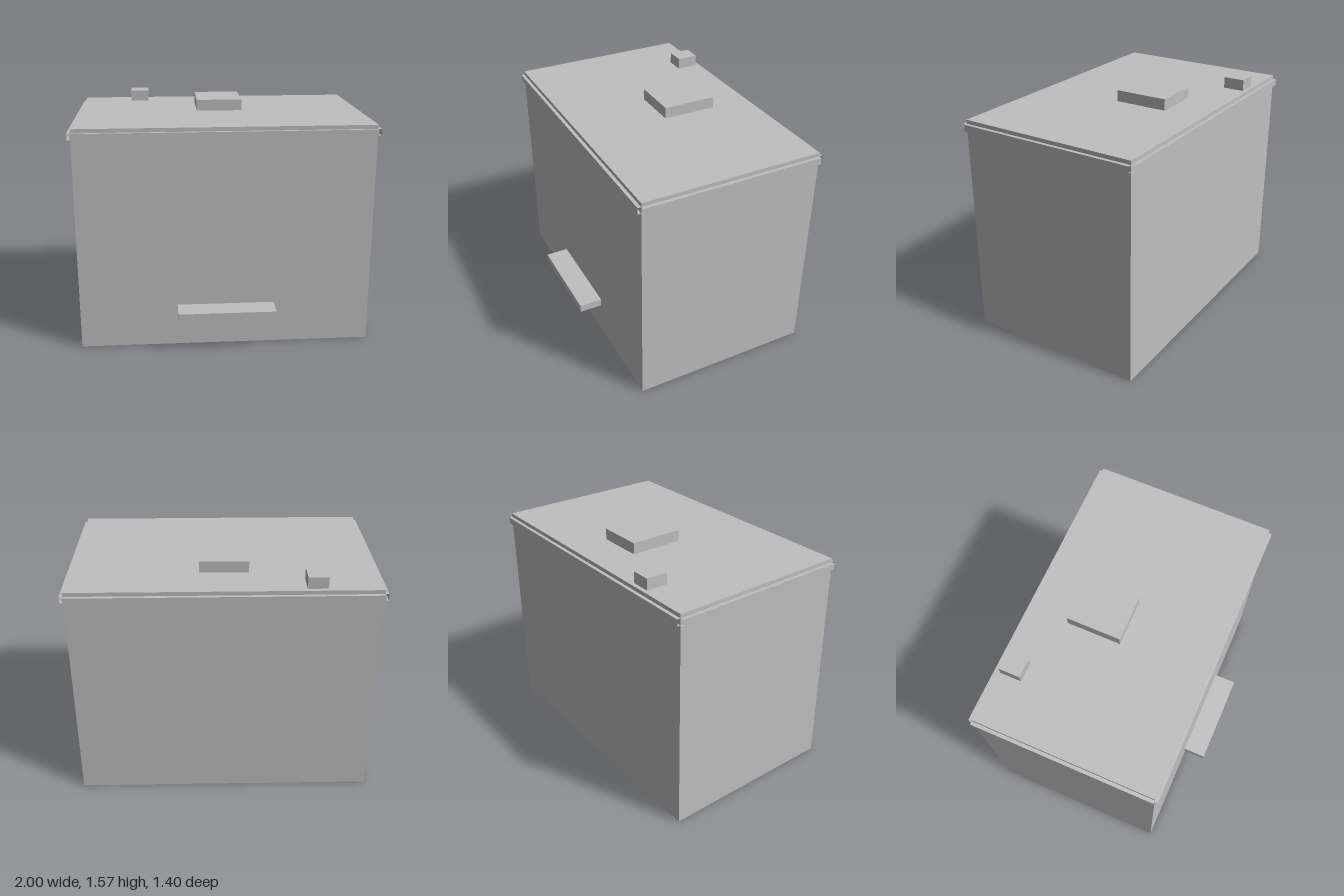
import * as THREE from 'three';

export function createModel() {
  const model = new THREE.Group();
  const grey = new THREE.MeshStandardMaterial({ color: 0xbfbfbf, side: THREE.DoubleSide });
  grey.name = 'plainGrey';

  const X = 0.977, BACK = -0.704, FRONT = 0.515, ROOF = 1.498;
  const MID = (FRONT + BACK) / 2;

  function add(name, geometry, parent = model) {
    const mesh = new THREE.Mesh(geometry, grey);
    mesh.name = name;
    parent.add(mesh);
    return mesh;
  }

  // Box given by its lower and upper corner
  function block(name, [x0, y0, z0], [x1, y1, z1]) {
    const g = new THREE.BoxGeometry(x1 - x0, y1 - y0, z1 - z0);
    g.translate((x0 + x1) / 2, (y0 + y1) / 2, (z0 + z1) / 2);
    return add(name, g);
  }

  // Walls and roof as a hollow shell, open underneath
  const shell = block('buildingShell', [-X, 0, BACK], [X, ROOF, FRONT]).geometry;
  const faces = Array.from(shell.index.array);
  faces.splice(18, 6); // drop the bottom face
  shell.setIndex(faces);
  shell.clearGroups();

  // Entrance canopy and rooftop units
  block('entranceCanopy', [-0.325, 0.234, FRONT], [0.325, 0.288, 0.671]);
  block('largeRoofUnit', [-0.161, ROOF, -0.434], [0.155, 1.574, -0.072]);
  block('smallRoofUnit', [-0.633, ROOF, -0.677], [-0.505, 1.574, -0.533]);

  // Cornice strips: top, outer and under faces, with open ends at the corners
  const profile = [[0, 1.472], [0.0225, 1.472], [0.0225, 1.429], [0, 1.429]];
  function cornice(length) {
    const g = new THREE.PlaneGeometry(length, 1, 1, 3);
    const p = g.attributes.position;
    for (let i = 0; i < p.count; i++) {
      const [depth, y] = profile[Math.floor(i / 2)];
      p.setXYZ(i, p.getX(i), y, depth);
    }
    const flat = g.toNonIndexed();
    flat.computeVertexNormals();
    return flat;
  }

  const trim = new THREE.Group();
  trim.name = 'cornice';
  trim.position.z = MID;
  model.add(trim);
  const halfDepth = (FRONT - BACK) / 2;
  ['frontCornice', 'leftCornice', 'backCornice', 'rightCornice'].forEach((name, i) => {
    const side = i % 2 === 1;
    const strip = add(name, cornice(side ? halfDepth * 2 : X * 2), trim);
    const a = (i * Math.PI) / 2, out = side ? X : halfDepth;
    strip.rotation.y = a;
    strip.position.set(Math.sin(a) * out, 0, Math.cos(a) * out);
  });

  return model;
}
